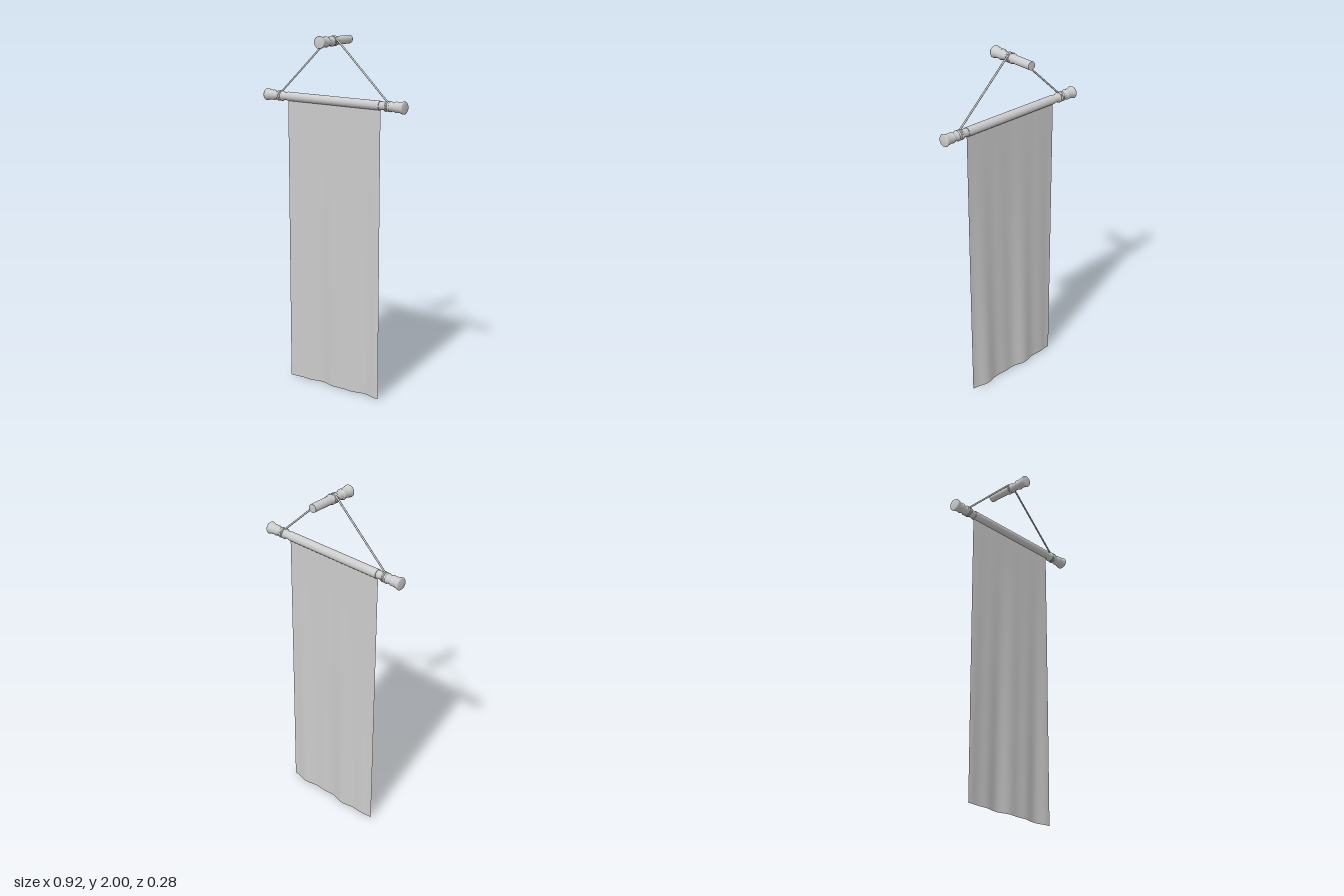
import * as THREE from 'three';

const ROD_Y = 1.65, PEG_Y = 1.967, Z = 0.012;
const material = new THREE.MeshStandardMaterial({ color: 0xcccccc });
const clothMaterial = new THREE.MeshStandardMaterial({ color: 0xcccccc, side: THREE.DoubleSide });

function add(parent, name, geometry, mat = material) {
  const mesh = new THREE.Mesh(geometry, mat);
  mesh.name = name;
  parent.add(mesh);
  return mesh;
}

// Turned wood: profile of [distance along axis, radius] spun about y
function turned(profile) {
  return new THREE.LatheGeometry(profile.map(([d, r]) => new THREE.Vector2(r, d)), 20);
}

// Hanging cloth: a flat grid whose shallow folds deepen towards the hem
function clothGeometry() {
  const height = ROD_Y - 0.02;
  const geometry = new THREE.PlaneGeometry(0.61, height, 40, 24);
  geometry.translate(0, height / 2, 0);
  const p = geometry.attributes.position;
  for (let i = 0; i < p.count; i++) {
    const x = p.getX(i), drop = 1 - p.getY(i) / height;
    const fold = 0.6 * Math.sin(x * 21 + 0.5) + 0.4 * Math.sin(x * 43 + 1.2 + drop);
    p.setZ(i, Z + drop * (0.011 * fold - 0.01));
  }
  geometry.computeVertexNormals();
  return geometry;
}

export function createModel() {
  const model = new THREE.Group();
  model.name = 'hangingBanner';

  add(model, 'cloth', clothGeometry(), clothMaterial);

  // Sleeve of cloth round the rod
  const sleeve = add(model, 'rodSleeve', new THREE.CylinderGeometry(0.025, 0.025, 0.61, 20));
  sleeve.rotation.z = Math.PI / 2;
  sleeve.position.set(0, ROD_Y, Z);

  // Turned rod ends, with rings and a flared tip
  const finial = turned([
    [0.29, 0.022], [0.332, 0.022], [0.337, 0.027], [0.343, 0.029], [0.348, 0.024],
    [0.353, 0.023], [0.357, 0.028], [0.361, 0.028], [0.364, 0.023], [0.369, 0.029],
    [0.374, 0.024], [0.393, 0.023], [0.396, 0.027], [0.402, 0.029], [0.408, 0.027],
    [0.425, 0.028], [0.44, 0.031], [0.447, 0.034], [0.452, 0.034], [0.457, 0.03],
    [0.458, 0],
  ]);
  for (const side of [-1, 1]) {
    const name = side > 0 ? 'left' : 'right';
    const end = add(model, name + 'Finial', finial);
    end.rotation.z = -side * Math.PI / 2;
    end.position.set(0, ROD_Y, Z);

    // Cord from the peg down to the groove in the finial
    const path = new THREE.LineCurve3(
      new THREE.Vector3(side * 0.018, PEG_Y + 0.019, Z + 0.002),
      new THREE.Vector3(side * 0.35, ROD_Y + 0.022, Z + 0.002));
    add(model, name + 'Cord', new THREE.TubeGeometry(path, 1, 0.005, 8));

    const knot = add(model, name + 'CordLoop', new THREE.TorusGeometry(0.023, 0.005, 8, 20));
    knot.rotation.y = Math.PI / 2;
    knot.position.set(side * 0.35, ROD_Y, Z);
  }

  // Wall peg with two rings holding the cord and a flared head
  const peg = add(model, 'peg', turned([
    [-0.14, 0], [-0.14, 0.0225], [-0.138, 0.023], [-0.012, 0.023], [-0.008, 0.027],
    [-0.002, 0.028], [0.004, 0.024], [0.02, 0.023], [0.023, 0.028], [0.029, 0.028],
    [0.033, 0.023], [0.067, 0.023], [0.071, 0.028], [0.077, 0.03], [0.083, 0.027],
    [0.1, 0.027], [0.12, 0.03], [0.127, 0.033], [0.134, 0.033], [0.139, 0.03], [0.14, 0],
  ]));
  peg.rotation.x = Math.PI / 2;
  peg.position.y = PEG_Y;

  const loop = add(model, 'pegCordLoop', new THREE.TorusGeometry(0.023, 0.005, 8, 20));
  loop.position.set(0, PEG_Y, Z + 0.002);

  return model;
}
